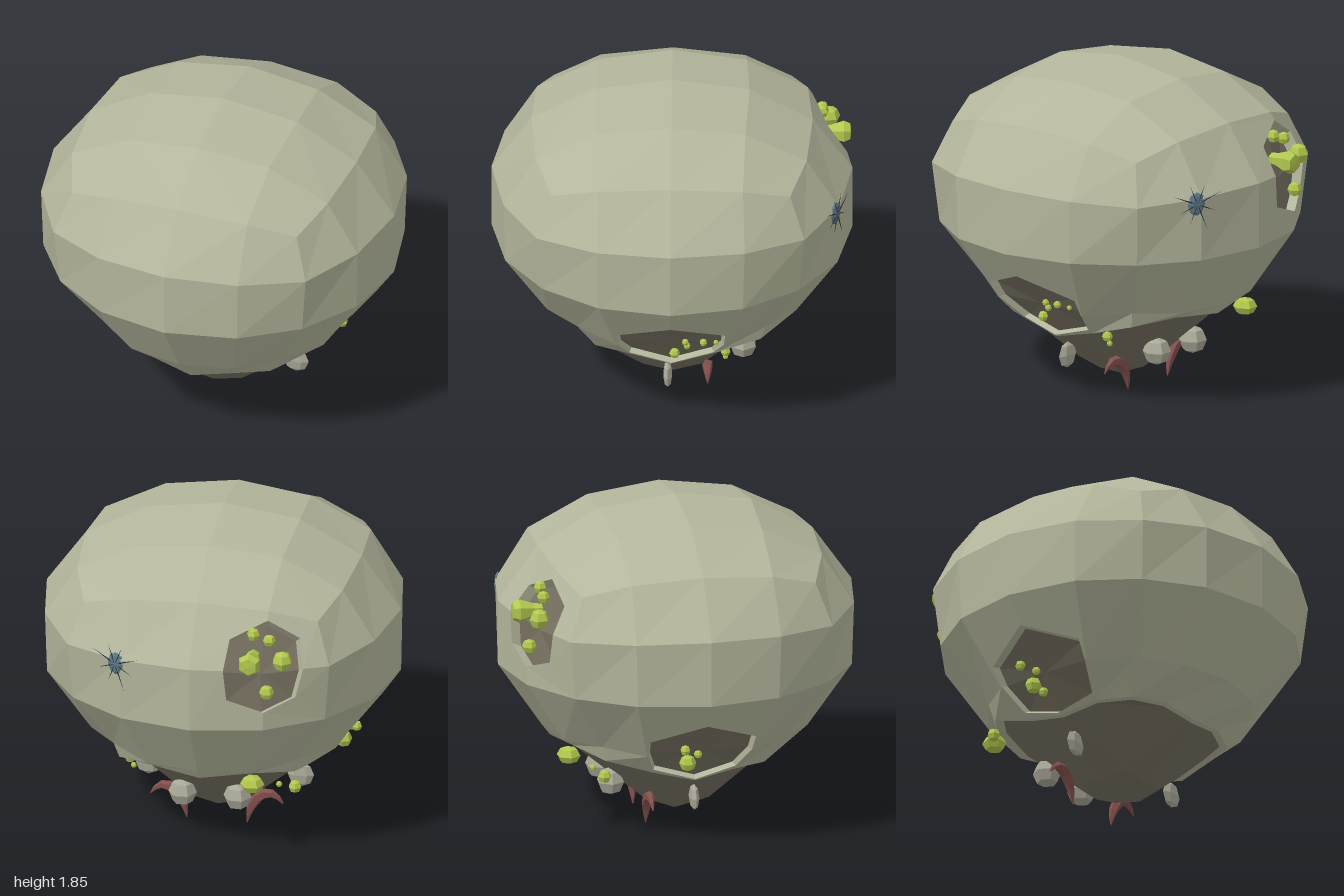
import * as THREE from 'three';

const V = (x, y, z) => new THREE.Vector3(x, y, z);
const mat = (color) => new THREE.MeshStandardMaterial({ color, flatShading: true, side: THREE.DoubleSide });
const SHELL = mat(0xb4b69c), INNER = mat(0x767060), GREEN = mat(0xb2c84e), STONE = mat(0xaaa898),
  CLAW = mat(0x83504d), BLUE = mat(0x5d7788), DARK = mat(0x22282c);

// Each entry: distance along the main axis, sideways offset, height.
const ROWS = {
  2: [[0.78, 0, 1.6], [0.75, 0.4, 1.57], [0.66, 0.66, 1.49]],
  1: [[1, 0, 1.29], [0.93, 0.41, 1.28], [0.74, 0.74, 1.26]],
  0: [[1, 0, 0.92], [0.92, 0.4, 0.92], [0.71, 0.71, 0.92]],
  '-1': [[0.75, 0, 0.55], [0.69, 0.3, 0.55], [0.52, 0.52, 0.57]],
  '-2': [[0.55, 0, 0.35], [0.51, 0.23, 0.39], [0.42, 0.42, 0.39]],
};
const CROWN = [[[0, 0, 1.85]], [[0.43, 0, 1.79], [0.41, 0.41, 1.74]]];
const KEEL = [[[0, 0, 0.02]], [[0.17, 0, 0.085], [0.16, 0.16, 0.12]]];

// Vertex of a rounded cube with four segments per edge (indices -2..2)
function node(i, j, k) {
  const a = Math.max(Math.abs(i), Math.abs(k)), b = Math.min(Math.abs(i), Math.abs(k));
  const [m, n, y] = a === 2 ? ROWS[j][b] : (j > 0 ? CROWN : KEEL)[a][b];
  const wide = Math.abs(i) >= Math.abs(k);
  const p = V(Math.sign(i) * (wide ? m : n), y, Math.sign(k) * (wide ? n : m));
  if (j === -2 && a === 2) { // the shell is cut higher at the back
    const s = Math.max(0, -p.z - 0.2);
    p.set(p.x * (1 + 0.8 * s), p.y + 0.4 * s, p.z * (1 + 0.8 * s));
  }
  return p;
}
const FACES = [(u, j) => node(u, j, 2), (u, j) => node(2, j, -u), (u, j) => node(-u, j, -2), (u, j) => node(-2, j, u)];

// Point between the vertices of one side face
function between(face, u, j) {
  const u0 = Math.min(1, Math.floor(u)), j0 = Math.min(1, Math.floor(j));
  const low = face(u0, j0).lerp(face(u0 + 1, j0), u - u0);
  return low.lerp(face(u0, j0 + 1).lerp(face(u0 + 1, j0 + 1), u - u0), j - j0);
}

// Collects triangles, turning each one outwards
class Skin {
  constructor() { this.pos = []; }
  tri(a, b, c) {
    const n = b.clone().sub(a).cross(c.clone().sub(a));
    const out = a.clone().add(b).add(c).divideScalar(3).sub(V(0, 0.9, 0));
    for (const p of n.dot(out) < 0 ? [a, c, b] : [a, b, c]) this.pos.push(p.x, p.y, p.z);
  }
  quad(a, b, c, d) { this.tri(a, b, c); this.tri(a, c, d); }
  band(A, B) {
    A.forEach((p, n) => { const m = (n + 1) % A.length; this.quad(p, A[m], B[m], B[n]); });
  }
  mesh(name, material) {
    const g = new THREE.BufferGeometry();
    g.setAttribute('position', new THREE.Float32BufferAttribute(this.pos, 3));
    g.computeVertexNormals();
    const m = new THREE.Mesh(g, material);
    m.name = name;
    return m;
  }
}

const AROUND = [[0, 1], [1, 1], [1, 0], [1, -1], [0, -1], [-1, -1], [-1, 0], [-1, 1]];
const SIDE_HOLE = [[0, 0.6], [0.92, 0.28], [0.97, 0.02], [0.95, -0.8], [0, -0.95], [-0.95, -0.8], [-0.97, 0.02], [-0.92, 0.28]];
const BACK_HOLE = [[0, 0.85], [0.6, 0.6], [0.6, 0], [0.5, -0.5], [0, -0.7], [-0.5, -0.5], [-0.55, 0], [-0.5, 0.5]];
const HOLES = [
  { f: 1, u: 0, j: -1, outline: SIDE_HOLE },
  { f: 3, u: 0, j: -1, outline: SIDE_HOLE },
  { f: 2, u: 1, j: 1, outline: BACK_HOLE },
];

function buildBody(group) {
  const shell = new Skin(), inner = new Skin();
  // side faces, leaving out the four panels around each hole
  FACES.forEach((face, f) => {
    for (let u = -2; u < 2; u++) for (let j = -2; j < 2; j++) {
      const open = HOLES.some((h) => h.f === f && (u === h.u || u === h.u - 1) && (j === h.j || j === h.j - 1));
      if (!open) shell.quad(face(u, j), face(u + 1, j), face(u + 1, j + 1), face(u, j + 1));
    }
  });
  // holes: surround, lip and sunken floor
  const sink = (p, t) => p.clone().lerp(V(0, 0.7, 0), t);
  for (const { f, u, j, outline } of HOLES) {
    const face = FACES[f];
    const rim = outline.map(([a, b]) => between(face, u + a, j + b));
    const floor = rim.map((p) => sink(p, 0.055));
    const centre = sink(face(u, j), 0.1);
    shell.band(AROUND.map(([a, b]) => face(u + a, j + b)), rim);
    shell.band(rim, floor);
    floor.forEach((p, n) => inner.tri(p, floor[(n + 1) % 8], centre));
  }
  // crown of the shell and exposed underside
  const tuck = (p) => V(p.x * 0.93, p.y, p.z * 0.93);
  const under = (i, k) => (Math.max(Math.abs(i), Math.abs(k)) === 2 ? tuck(node(i, -2, k)) : node(i, -2, k));
  for (let i = -2; i < 2; i++) for (let k = -2; k < 2; k++) {
    shell.quad(node(i, 2, k), node(i + 1, 2, k), node(i + 1, 2, k + 1), node(i, 2, k + 1));
    inner.quad(under(i, k), under(i + 1, k), under(i + 1, k + 1), under(i, k + 1));
  }
  const edge = FACES.flatMap((face) => [-2, -1, 0, 1].map((u) => face(u, -2)));
  shell.band(edge, edge.map(tuck));
  group.add(shell.mesh('shell', SHELL), inner.mesh('innerSurface', INNER));
}

function blob(name, material, x, y, z, r, scale = [1, 1, 1]) {
  const m = new THREE.Mesh(new THREE.SphereGeometry(r, 6, 4), material);
  m.name = name;
  m.position.set(x, y, z);
  m.scale.set(...scale);
  m.rotation.set(0, x * 7, 0);
  return m;
}

// Hooked claw: a tube tapering towards both ends
function claw(side) {
  const path = new THREE.CatmullRomCurve3([[0.17, 0], [0.19, 0.09], [0.25, 0.175], [0.32, 0.185], [0.375, 0.13]]
    .map(([x, y]) => V(side * x, y, -0.2)));
  const g = new THREE.TubeGeometry(path, 8, 0.032, 5);
  const pos = g.attributes.position, p = V();
  for (let n = 0; n < pos.count; n++) {
    const t = Math.floor(n / 6) / 8, c = path.getPointAt(t);
    p.fromBufferAttribute(pos, n).sub(c).multiplyScalar(0.1 + 0.9 * Math.sin(Math.PI * t)).add(c);
    pos.setXYZ(n, p.x, p.y, p.z);
  }
  const m = new THREE.Mesh(g, CLAW);
  m.name = side > 0 ? 'leftClaw' : 'rightClaw';
  return m;
}

// Small flat crawler with thin legs, clinging to the back
function crawler() {
  const c = new THREE.Group();
  c.name = 'crawler';
  c.add(blob('crawlerBody', BLUE, 0, 0, 0, 0.062, [0.9, 1.1, 0.3]));
  for (let n = 0; n < 8; n++) {
    const a = (n + 0.5) * Math.PI / 4, len = n % 3 ? 0.11 : 0.15;
    const leg = new THREE.Mesh(new THREE.ConeGeometry(0.005, len, 3), DARK);
    leg.name = 'crawlerLeg';
    leg.position.set(Math.cos(a) * len * 0.6, Math.sin(a) * len * 0.6, 0.012);
    leg.rotation.z = a - Math.PI / 2;
    c.add(leg);
  }
  c.position.set(0.43, 1.25, -0.91);
  c.lookAt(1.0, 1.25, -2.2);
  return c;
}

export function createModel() {
  const model = new THREE.Group();
  model.name = 'hollowPod';
  buildBody(model);

  // green growths: x, y, z, radius
  const growths = [
    [0.69, 0.5, -0.02, 0.03], [0.74, 0.6, -0.08, 0.02], [0.73, 0.57, -0.09, 0.02], [0.76, 0.61, -0.18, 0.022], [0.74, 0.6, -0.25, 0.015],
    [-0.69, 0.5, -0.07, 0.048], [-0.77, 0.6, -0.1, 0.03], [-0.73, 0.56, -0.02, 0.024], [-0.64, 0.47, -0.04, 0.028],
    [0.47, 0.385, -0.3, 0.03], [0.45, 0.34, -0.3, 0.017], [-0.5, 0.39, -0.5, 0.038], [-0.42, 0.42, -0.55, 0.018],
    [-0.5, 1.33, -0.87, 0.058], [-0.42, 1.43, -0.83, 0.036], [-0.33, 1.46, -0.83, 0.038], [-0.42, 1.15, -0.91, 0.042],
  ];
  for (const [x, y, z, r] of growths) model.add(blob('growth', GREEN, x, y, z, r));
  model.add(blob('wideGrowth', GREEN, -0.29, 0.46, -0.66, 0.068, [1, 0.75, 1]));
  // large bud widening outwards
  const bud = new THREE.Mesh(new THREE.LatheGeometry(
    [[0, -0.09], [0.035, -0.08], [0.04, -0.03], [0.068, 0.05], [0.05, 0.085], [0, 0.09]].map((p) => new THREE.Vector2(...p)), 6), GREEN);
  bud.name = 'largeBud';
  bud.rotation.x = -Math.PI / 2;
  bud.position.set(-0.33, 1.33, -0.9);
  model.add(bud);

  // pebbles on the underside, claws
  for (const s of [-1, 1]) {
    model.add(blob('backPebble', STONE, s * 0.155, 0.25, -0.395, 0.08));
    const disc = blob('sidePebble', STONE, s * 0.43, 0.215, 0.02, 0.075, [1, 1, 0.36]);
    disc.rotation.y = 0;
    model.add(disc, claw(s));
  }
  model.add(crawler());
  return model;
}
